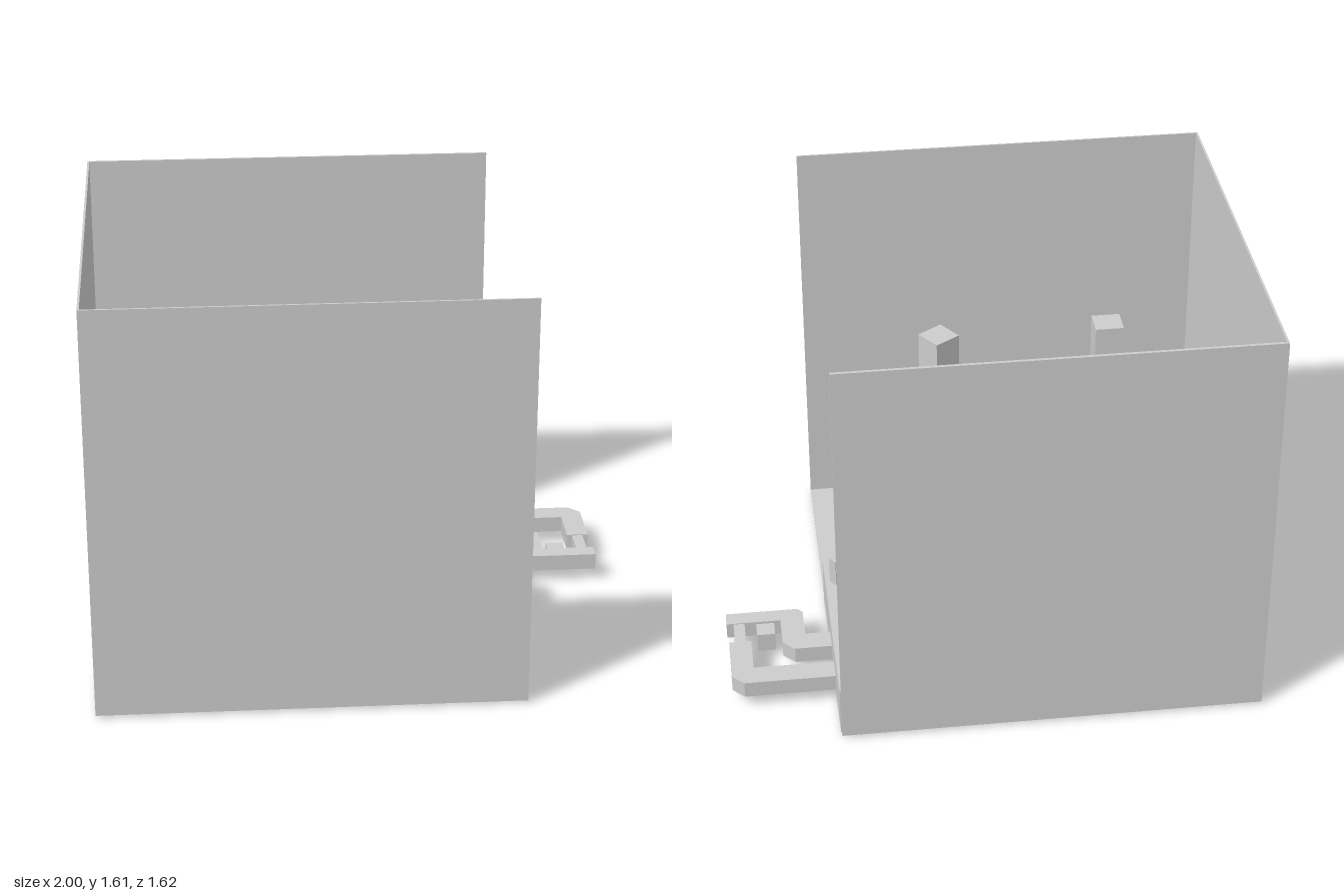
import * as THREE from 'three';

export function createModel() {
  const root = new THREE.Group();
  root.name = 'room';
  const grey = new THREE.MeshStandardMaterial({ color: 0xcccccc });
  grey.name = 'plain grey';
  const FLOOR = 0.02;

  function add(name, geo, parent = root) {
    const m = new THREE.Mesh(geo, grey);
    m.name = name;
    parent.add(m);
    return m;
  }
  // box given by its limits on each axis
  function box(name, x0, x1, y0, y1, z0, z1, parent) {
    const m = add(name, new THREE.BoxGeometry(x1 - x0, y1 - y0, z1 - z0), parent);
    m.position.set((x0 + x1) / 2, (y0 + y1) / 2, (z0 + z1) / 2);
    return m;
  }
  // plan outline of [x, z] points raised from y0 to y1
  function plan(name, pts, y0, y1) {
    const shape = new THREE.Shape(pts.map(([x, z]) => new THREE.Vector2(x, -z)));
    const geo = new THREE.ExtrudeGeometry(shape, { depth: y1 - y0, bevelEnabled: false });
    geo.rotateX(-Math.PI / 2);
    const m = add(name, geo);
    m.position.y = y0;
    return m;
  }
  // box whose top falls towards the back
  function wedge(name, w, d, front, back) {
    const geo = new THREE.BoxGeometry(w, 1, d);
    const p = geo.attributes.position;
    for (let i = 0; i < p.count; i++) {
      p.setY(i, p.getY(i) < 0 ? 0 : p.getZ(i) > 0 ? front : back);
    }
    const flat = geo.toNonIndexed();
    flat.computeVertexNormals();
    const m = add(name, flat);
    m.position.y = FLOOR;
    return m;
  }

  // shell, open at the top and on the left
  box('floor', -1, 0.6, 0.01, FLOOR, -0.8, 0.8);
  box('frontWall', -1, 0.6, 0.01, 1.61, 0.798, 0.806);
  box('backWall', -1, 0.6, 0.01, 1.61, -0.812, -0.8);
  box('sideWall', -1, -0.992, 0.01, 1.61, -0.8, 0.8);
  box('lowPanel', 0.597, 0.603, 0.01, 0.203, -0.79, 0.04);

  // three rows of domes
  for (const z of [-0.705, 0.17, 0.285]) {
    for (let i = 0; i < 8; i++) {
      const dome = add('dome', new THREE.SphereGeometry(0.047, 24, 8, 0, Math.PI * 2, 0, Math.PI / 2));
      dome.scale.y = 0.75;
      dome.position.set(-0.876 + i * 0.115, FLOOR, z);
    }
  }

  // round pads
  add('taperedPad', new THREE.CylinderGeometry(0.105, 0.115, 0.05, 40)).position.set(0.22, FLOOR + 0.025, -0.4);
  add('roundPad', new THREE.CylinderGeometry(0.115, 0.115, 0.04, 40)).position.set(0.22, FLOOR + 0.02, -0.1);

  // two benches, each with a block and a tall post
  function bench(x, z, angle, postBase, postTop) {
    const g = new THREE.Group();
    g.name = 'bench';
    g.position.set(x, 0, z);
    g.rotation.y = angle;
    root.add(g);
    box('benchBar', -0.24, 0.24, FLOOR, 0.135, -0.021, 0.021, g);
    box('benchBlock', -0.056, 0.056, FLOOR, 0.18, -0.018, 0.092, g);
    box('post', -0.38, -0.265, postBase, postTop, -0.065, 0.047, g);
  }
  bench(-0.3, 0.608, 0, FLOOR, 0.88);
  bench(0.36, 0.258, 0.59, 0, 0.975);
  const seat = wedge('slopedBlock', 0.112, 0.12, 0.085, 0.035);
  seat.position.x = -0.155;
  seat.position.z = 0.475;
  const seat2 = wedge('slopedBlock', 0.045, 0.11, 0.088, 0.04);
  seat2.position.x = 0.462;
  seat2.position.z = 0.047;
  seat2.rotation.y = 0.62;

  // paired towers with a link
  box('towerBack', -0.91, -0.8, FLOOR, 0.205, -0.585, -0.475);
  box('towerFront', -0.91, -0.8, FLOOR, 0.205, -0.355, -0.242);
  box('towerLink', -0.888, -0.838, FLOOR, 0.13, -0.475, -0.355);
  box('towerKnob', -0.847, -0.833, 0.205, 0.228, -0.532, -0.518);

  // row of small blocks, the first running through the floor
  for (let i = 0; i < 5; i++) {
    const x = -0.642 + i * 0.059;
    box('smallBlock', x, x + 0.045, i ? FLOOR : 0.003, 0.09, -0.555, -0.51);
  }
  box('standingBlock', -0.172, -0.128, FLOOR, 0.13, -0.472, -0.422);

  // long bar with a stepped end, and a slanted bar
  box('longBar', -0.8, -0.54, FLOOR, 0.085, -0.31, -0.268).rotation.x = 0.15;
  box('barTip', -0.54, -0.495, FLOOR, 0.08, -0.308, -0.266);
  box('barEnd', -0.495, -0.447, FLOOR, 0.09, -0.335, -0.288);
  const slant = add('slantedBar', new THREE.BoxGeometry(0.255, 0.06, 0.045));
  slant.position.set(-0.425, FLOOR + 0.03, -0.23);
  slant.rotation.y = 0.73;

  // angular pieces lying on the floor
  [
    [[-0.77, -0.495], [-0.7, -0.495], [-0.68, -0.45], [-0.735, -0.45], [-0.77, -0.465]],
    [[-0.77, -0.4], [-0.68, -0.4], [-0.625, -0.335], [-0.71, -0.335], [-0.73, -0.35], [-0.77, -0.35]],
    [[-0.725, -0.255], [-0.68, -0.245], [-0.7, -0.165], [-0.77, -0.115], [-0.765, -0.17], [-0.735, -0.19]],
    [[-0.375, -0.105], [-0.285, -0.08], [-0.245, -0.015], [-0.3, -0.035], [-0.32, -0.06], [-0.385, -0.07]],
  ].forEach((pts) => plan('angularPiece', pts, FLOOR, 0.07));
  box('pieceStud', -0.331, -0.319, 0.07, 0.08, -0.077, -0.065);

  // pegs
  for (const [x, z] of [[-0.3, -0.53], [-0.3, -0.41], [-0.42, -0.41], [-0.42, -0.357],
    [-0.3, -0.357], [-0.087, -0.44], [-0.087, -0.35], [-0.59, -0.412]]) {
    box('peg', x - 0.007, x + 0.007, FLOOR, 0.045, z - 0.007, z + 0.007);
  }

  // looped walkway outside the open side
  plan('outerArm', [[0.603, -0.585], [0.95, -0.585], [0.995, -0.54], [0.995, -0.33],
    [0.91, -0.33], [0.91, -0.495], [0.603, -0.495]], 0.05, 0.115);
  plan('innerArm', [[0.603, -0.4], [0.745, -0.4], [0.79, -0.355], [0.79, -0.215],
    [1, -0.215], [1, -0.15], [0.72, -0.15], [0.7, -0.17], [0.7, -0.31], [0.603, -0.31]], 0.05, 0.115);
  box('armLink', 0.93, 0.973, 0.072, 0.112, -0.33, -0.215);
  box('armBlock', 0.815, 0.885, 0.028, 0.105, -0.285, -0.215);

  return root;
}
